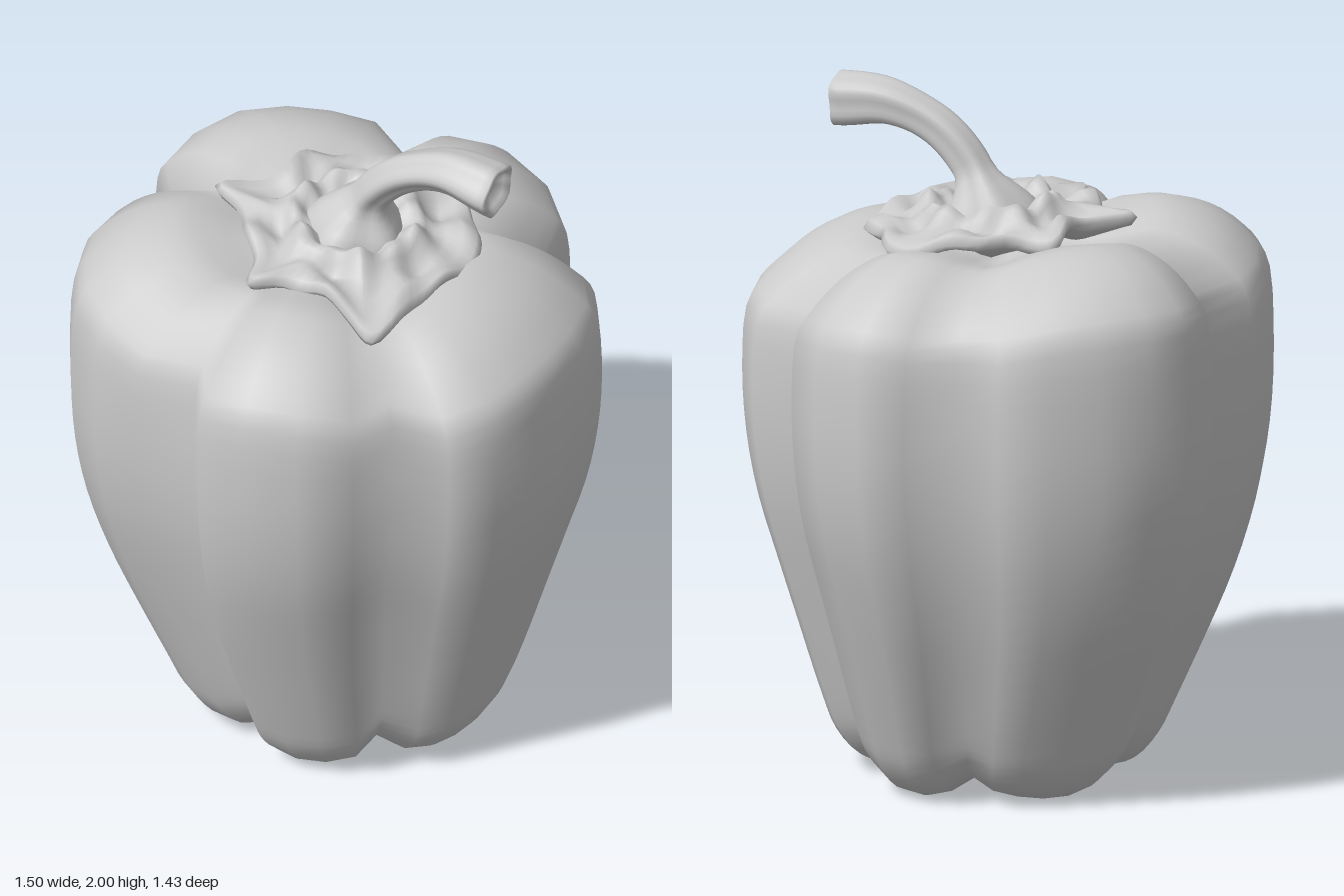
import * as THREE from 'three';

const material = new THREE.MeshStandardMaterial({ color: 0xcccccc, side: THREE.DoubleSide });

// Skin a list of closed rings (arrays of Vector3), wrapping around each ring
function loft(name, rings) {
  const n = rings[0].length, index = [];
  for (let r = 0; r < rings.length - 1; r++) {
    for (let i = 0; i < n; i++) {
      const a = r * n + i, b = r * n + (i + 1) % n;
      index.push(a, a + n, b, b, a + n, b + n);
    }
  }
  const geometry = new THREE.BufferGeometry().setFromPoints(rings.flat());
  geometry.setIndex(index);
  geometry.computeVertexNormals();
  const mesh = new THREE.Mesh(geometry, material);
  mesh.name = name;
  return mesh;
}

const smooth = THREE.MathUtils.smoothstep;

// Five-lobed body: plan outline (x, z) scaled along a height profile
function createBody() {
  const outline = [
    [.745, .04], [.74, .19], [.68, .33], [.6, .45], [.51, .55], [.4, .64], [.26, .69], [.11, .6],
    [-.01, .715], [-.17, .705], [-.32, .66], [-.44, .58], [-.43, .4],
    [-.6, .37], [-.7, .24], [-.75, .1], [-.74, -.04], [-.7, -.18], [-.62, -.3], [-.445, -.345],
    [-.455, -.52], [-.36, -.63], [-.24, -.7], [-.09, -.72], [.06, -.71], [.2, -.68], [.285, -.535],
    [.45, -.585], [.57, -.51], [.66, -.37], [.69, -.22], [.61, -.07],
  ];
  const notches = [-1, 7, 12, 19, 26, 31];
  // 0 in a crease, 1 in the middle of a lobe
  const lobe = outline.map((_, i) => {
    const k = notches.findIndex((v) => v >= i);
    if (k < 1) return 0;
    return Math.sin(Math.PI * (i - notches[k - 1]) / (notches[k] - notches[k - 1]));
  });
  const profile = new THREE.SplineCurve([
    [0, .12], [.13, .11], [.26, .05], [.4, .01], [.52, .03], [.61, .11], [.67, .22], [.77, .42],
    [.86, .61], [.94, .81], [.985, 1.0], [1, 1.2], [.985, 1.42], [.91, 1.51], [.77, 1.59],
    [.6, 1.632], [.45, 1.62], [.28, 1.59], [0, 1.57],
  ].map((p) => new THREE.Vector2(...p)));

  const rings = profile.getPoints(54).map(({ x: s, y }) => {
    const top = smooth(y, 1, 1.6), low = 1 - smooth(y, 0, .7);
    const mid = smooth(s, 0, .45);
    return outline.map(([px, pz], i) => {
      const x = px * s + .03 * low, z = pz * s + .03 * low;
      const crease = 1 - lobe[i];
      const rise = (1 - smooth(y, 0, .25)) * mid * crease * .05;
      return new THREE.Vector3(x, y + rise - top * (.055 * (x + z) + .06 * mid * crease), z);
    });
  });
  return loft('body', rings);
}

// Crumpled star-shaped leaf collar around the stem
function createCollar() {
  const cx = .06, cz = .04;
  const edge = [
    [.41, .1], [.37, .2], [.28, .29], [.19, .37], [.06, .505], [0, .42], [-.08, .31], [-.17, .26],
    [-.27, .26], [-.24, .16], [-.26, .06], [-.26, -.06], [-.32, -.16], [-.2, -.17], [-.13, -.2],
    [-.05, -.32], [.05, -.28], [.2, -.26], [.3, -.22], [.405, -.15], [.39, -.03],
  ].map(([x, z]) => new THREE.Vector3(x - cx, 0, z - cz));
  const points = new THREE.CatmullRomCurve3(edge, true).getPoints(84).slice(0, 84);
  // Fraction of the edge radius, height
  const section = [
    [.4, 1.59], [.8, 1.6], [.96, 1.61], [1, 1.63], [.96, 1.652], [.85, 1.655], [.72, 1.643],
    [.62, 1.65], [.55, 1.68], [.49, 1.7], [.42, 1.685], [.34, 1.655], [.22, 1.66], [.1, 1.67],
  ];
  const rings = section.map(([f, h]) => points.map((p) => {
    const a = Math.atan2(p.z, p.x), r = Math.hypot(p.x, p.z);
    const radius = f * THREE.MathUtils.lerp(.36, r, smooth(f, .4, .9));
    const x = cx + radius * Math.cos(a), z = cz + radius * Math.sin(a);
    const ripple = .013 * Math.sin(6 * a + 9 * f) + .009 * Math.sin(11 * a - 7 * f);
    return new THREE.Vector3(x, h + ripple * smooth(f, .1, .5) - .06 * x - .07 * z, z);
  }));
  return loft('leafCollar', rings);
}

// Bent, ribbed stem with a hollow cut end
function createStem() {
  const path = new THREE.CatmullRomCurve3([
    [.06, 1.62, .03], [.085, 1.71, .035], [.115, 1.79, .065], [.19, 1.88, .12], [.31, 1.935, .2], [.435, 1.925, .295],
  ].map((p) => new THREE.Vector3(...p)));
  const steps = 24, sides = 30;
  const frames = path.computeFrenetFrames(steps);
  const ring = (k, radius, inset = 0) => {
    const c = path.getPointAt(k / steps).addScaledVector(frames.tangents[k], -inset);
    return Array.from({ length: sides }, (_, i) => {
      const a = i / sides * Math.PI * 2;
      const r = radius * (1 + .07 * Math.cos(5 * a) + .04 * Math.cos(3 * a + 1));
      return c.clone()
        .addScaledVector(frames.normals[k], r * Math.cos(a))
        .addScaledVector(frames.binormals[k], -r * Math.sin(a));
    });
  };
  const rings = [];
  for (let k = 0; k <= steps; k++) {
    const t = k / steps;
    rings.push(ring(k, .056 + .09 * (1 - smooth(t, 0, .25)) + .022 * smooth(t, .55, 1)));
  }
  rings.push(ring(steps, .066, -.004), ring(steps, .055, .012), ring(steps, .03, .03), ring(steps, 0, .02));
  return loft('stem', rings);
}

export function createModel() {
  const group = new THREE.Group();
  group.name = 'bellPepper';
  group.add(createBody(), createCollar(), createStem());
  return group;
}
